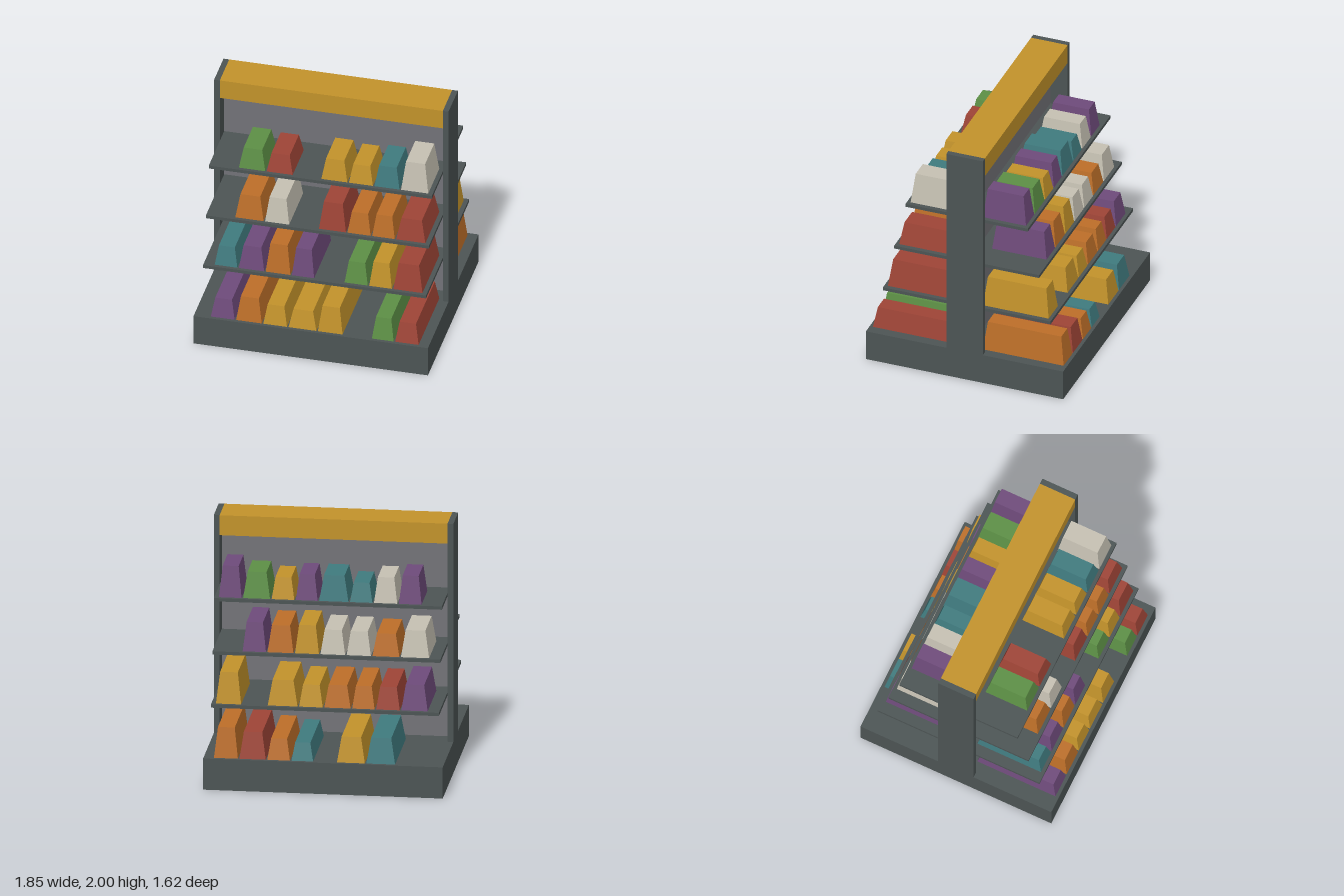
import * as THREE from 'three';

const mat = (name, color, side = THREE.FrontSide) => {
  const m = new THREE.MeshStandardMaterial({ color, side });
  m.name = name;
  return m;
};

export function createModel() {
  const group = new THREE.Group();
  const frame = mat('frame grey', 0x4c5454, THREE.DoubleSide);
  const panel = mat('panel grey', 0x727277);
  const yellow = mat('yellow', 0xc2922a);
  const orange = mat('orange', 0xbc6e28);
  const red = mat('red', 0x9e4436);
  const green = mat('green', 0x5c8f45);
  const teal = mat('teal', 0x3f7a7e);
  const purple = mat('purple', 0x6e4a7a);
  const cream = mat('cream', 0xc5c0b2);

  const add = (name, geometry, material, x, y, z) => {
    const mesh = new THREE.Mesh(geometry, material);
    mesh.name = name;
    mesh.position.set(x, y, z);
    group.add(mesh);
  };

  // Hollow plinth, open underneath: drop the six indices of the bottom face
  const plinth = new THREE.BoxGeometry(1.85, 0.25, 1.62);
  const corners = Array.from(plinth.index.array);
  corners.splice(18, 6);
  plinth.setIndex(corners);
  plinth.clearGroups();
  add('plinth', plinth, frame, 0, 0.125, 0);

  // End posts, centre panel and header
  for (const s of [-1, 1]) {
    add('endPost', new THREE.BoxGeometry(0.045, 2, 0.3), frame, s * 0.9025, 1, 0);
  }
  add('centrePanel', new THREE.BoxGeometry(1.76, 1.6, 0.02), panel, 0, 1.05, 0);
  add('header', new THREE.BoxGeometry(1.76, 0.16, 0.3), yellow, 0, 1.92, 0);

  // Levels rise evenly; goods and shelves get shallower towards the top
  const levelY = (level) => 0.25 + 0.398 * level;
  const reach = (level) => (level ? 0.753 - 0.093 * level : 0.783);

  for (const level of [1, 2, 3]) {
    const depth = reach(level) + 0.018;
    for (const side of [1, -1]) {
      add('shelf', new THREE.BoxGeometry(1.76, 0.026, depth), frame,
        0, levelY(level) - 0.013, side * (0.01 + depth / 2));
    }
  }

  // One pack of goods: a box whose top is drawn in on all four sides
  const pack = (width, height, depth) => {
    const g = new THREE.BoxGeometry(width, height, depth).toNonIndexed();
    const p = g.attributes.position;
    for (let i = 0; i < p.count; i++) {
      if (p.getY(i) > 0) {
        p.setX(i, p.getX(i) * 0.7);
        p.setZ(i, p.getZ(i) * (1 - 0.06 / depth));
      }
    }
    g.computeVertexNormals();
    return g;
  };

  // A row packed from the +x end with even gaps; each entry is [width, colour, height],
  // and an entry with only a width is an empty place
  const row = (level, side, entries) => {
    const back = 0.12;
    const front = reach(level);
    let x = 0.845;
    for (const [width, colour, height] of entries) {
      if (colour) {
        add(colour.name + 'Goods', pack(width, height, front - back), colour,
          x - width / 2, levelY(level) + height / 2, side * (front + back) / 2);
      }
      x -= width + 0.012;
    }
  };

  // Front rows, bottom to top
  row(0, 1, [[0.185, red, 0.17], [0.172, green, 0.185], [0.207], [0.195, yellow, 0.22],
    [0.22, yellow, 0.155], [0.187, yellow, 0.165], [0.202, orange, 0.205], [0.188, purple, 0.16]]);
  row(1, 1, [[0.23, red, 0.227], [0.178, yellow, 0.207], [0.183, green, 0.183], [0.216],
    [0.175, purple, 0.237], [0.195, orange, 0.247], [0.2, purple, 0.195], [0.179, teal, 0.163]]);
  row(2, 1, [[0.23, red, 0.184], [0.178, orange, 0.184], [0.183, orange, 0.178],
    [0.213, red, 0.236], [0.211], [0.19, cream, 0.21], [0.223, orange, 0.2]]);
  row(3, 1, [[0.215, cream, 0.246], [0.198, teal, 0.176], [0.19, yellow, 0.156],
    [0.205, yellow, 0.176], [0.202], [0.205, red, 0.156], [0.208, green, 0.171]]);

  // Back rows, bottom to top
  row(0, -1, [[0.185, orange, 0.24], [0.203, red, 0.21], [0.175, orange, 0.165],
    [0.167, teal, 0.14], [0.16], [0.215, yellow, 0.2], [0.222, teal, 0.2]]);
  row(1, -1, [[0.195, yellow, 0.247], [0.181], [0.23, yellow, 0.2], [0.183, yellow, 0.17],
    [0.203, orange, 0.175], [0.173, orange, 0.175], [0.183, red, 0.175], [0.203, purple, 0.2]]);
  row(2, -1, [[0.183], [0.18, purple, 0.228], [0.2, orange, 0.21], [0.185, yellow, 0.22],
    [0.19, cream, 0.19], [0.187, cream, 0.185], [0.208, orange, 0.175], [0.218, cream, 0.21]]);
  row(3, -1, [[0.175, purple, 0.246], [0.208, green, 0.205], [0.175, yellow, 0.17],
    [0.168, purple, 0.2], [0.226, teal, 0.2], [0.173, teal, 0.15], [0.18, cream, 0.2],
    [0.176, purple, 0.22]]);

  return group;
}
